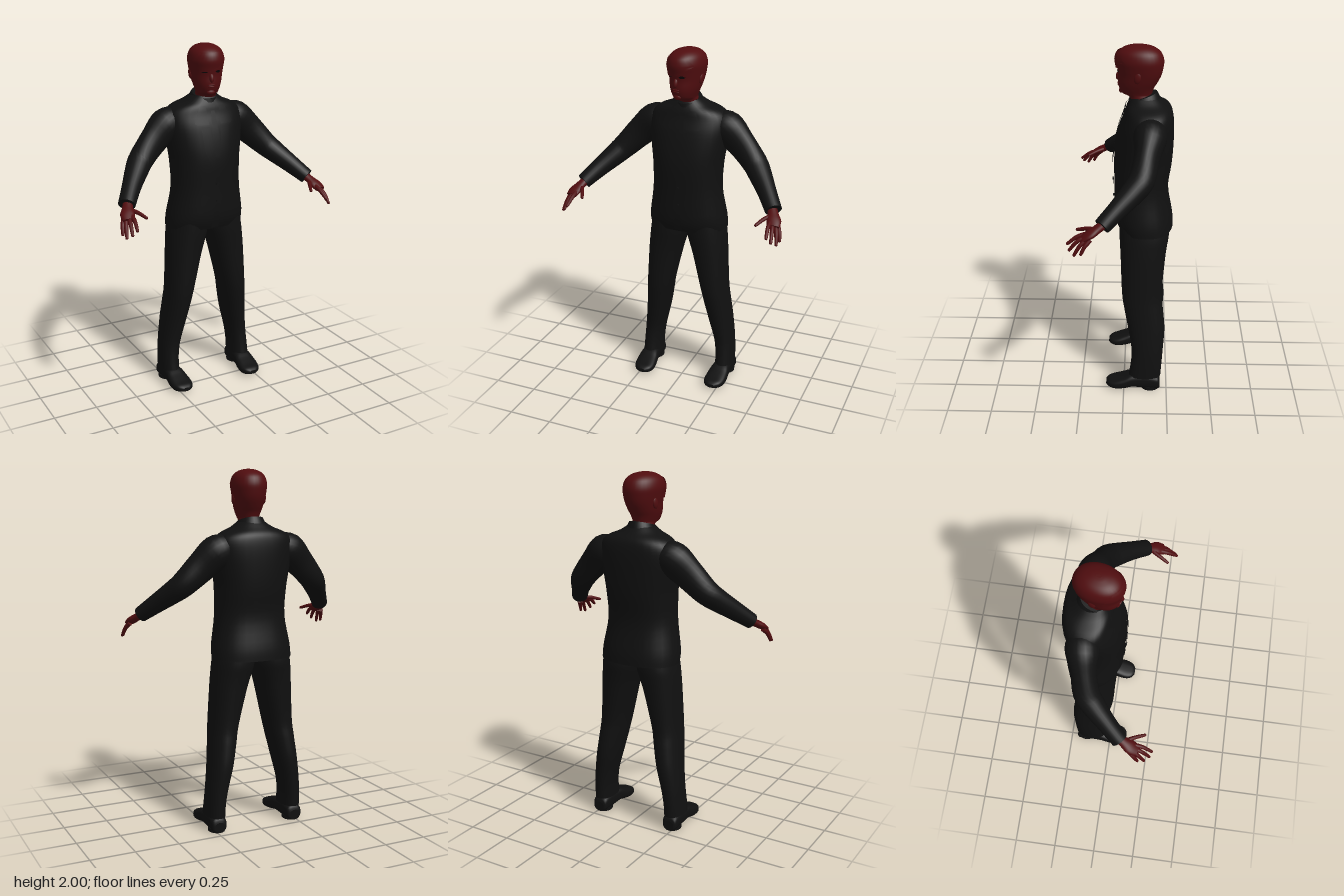
import * as THREE from 'three';

const mat = (name, color) => new THREE.MeshStandardMaterial({ name, color, side: THREE.DoubleSide });
const V = (x, y, z) => new THREE.Vector3(x, y, z);
const power = (a, p) => Math.sign(a) * Math.abs(a) ** p;

// Smoothly resample rows of numbers
function smooth(rows, steps = 4) {
  const out = [], at = i => rows[Math.min(Math.max(i, 0), rows.length - 1)];
  for (let i = 0; i < rows.length - 1; i++) for (let k = 0; k < steps; k++) {
    const t = k / steps;
    out.push(rows[i].map((b, j) => {
      const a = at(i - 1)[j], c = at(i + 1)[j], d = at(i + 2)[j];
      return b + 0.5 * t * (c - a + t * (2 * a - 5 * b + 4 * c - d + t * (3 * (b - c) + d - a)));
    }));
  }
  return [...out, rows.at(-1)];
}

// Skin closed super-ellipse rings { c, u, v }, with flat caps at both ends
function loft(rings, n = 2, seg = 32) {
  const pos = [], idx = [], last = rings.length - 1;
  const flip = V().crossVectors(rings[0].u, rings[0].v).dot(V().subVectors(rings[1].c, rings[0].c)) > 0;
  const tri = (a, b, c) => flip ? idx.push(a, c, b) : idx.push(a, b, c);
  const ring = r => {
    for (let j = 0; j < seg; j++) {
      const a = j / seg * Math.PI * 2;
      const p = r.c.clone().addScaledVector(r.u, power(Math.cos(a), 2 / n)).addScaledVector(r.v, power(Math.sin(a), 2 / n));
      pos.push(p.x, p.y, p.z);
    }
  };
  rings.forEach(ring);
  for (let i = 0; i < last; i++) for (let j = 0; j < seg; j++) {
    const a = i * seg + j, b = i * seg + (j + 1) % seg;
    tri(a, a + seg, b);
    tri(b, a + seg, b + seg);
  }
  for (const [r, top] of [[rings[0], false], [rings[last], true]]) {
    const base = pos.length / 3;
    ring(r);
    pos.push(r.c.x, r.c.y, r.c.z);
    for (let j = 0; j < seg; j++) {
      const a = base + j, b = base + (j + 1) % seg;
      top ? tri(a, base + seg, b) : tri(b, base + seg, a);
    }
  }
  const g = new THREE.BufferGeometry();
  g.setAttribute('position', new THREE.Float32BufferAttribute(pos, 3));
  g.setIndex(idx);
  g.computeVertexNormals();
  return g;
}

// Upright body: rows of [y, centre x, half width, front z, back z]
const upright = (rows, n, tilt = 0) => loft(smooth(rows).map(([y, x, w, f, b]) => ({
  c: V(x, y, (f + b) / 2), u: V(w, 0, 0), v: V(0, -tilt * (f - b) / 2, (f - b) / 2) })), n);

// Limb: rows of [x, y, z, half width, half thickness]
function limb(rows, s, seg = 24) {
  const p = smooth(rows);
  return loft(p.map((r, i) => {
    const a = p[Math.max(i - 1, 0)], b = p[Math.min(i + 1, p.length - 1)];
    const t = V(s * (b[0] - a[0]), b[1] - a[1], b[2] - a[2]).normalize();
    const u = V().crossVectors(t, V(0, 1, 0)).normalize(), v = V().crossVectors(t, u);
    return { c: V(s * r[0], r[1], r[2]), u: u.multiplyScalar(r[3]), v: v.multiplyScalar(r[4]) };
  }), 2, seg);
}

// Front depth of an upright body at (x, y)
function frontZ(rows, n, x, y) {
  const i = Math.min(Math.max(rows.findIndex(r => r[0] > y), 1), rows.length - 1);
  const a = rows[i - 1], b = rows[i], t = (y - a[0]) / (b[0] - a[0]);
  const [, , w, f, k] = a.map((q, j) => q + (b[j] - q) * t);
  return (f + k) / 2 + (f - k) / 2 * Math.max(0, 1 - Math.abs(x / w) ** n) ** (1 / n);
}

// Thin panel lying on a body's front: rows of [y, x from, x to], top down
function panel(body, n, rows, s = 1, lift = 0.006) {
  const down = [], K = 6, N = 10;
  rows.slice(0, -1).forEach((r, i) => {
    for (let k = 0; k < K; k++) down.push(r.map((q, j) => q + (rows[i + 1][j] - q) * k / K));
  });
  down.push(rows.at(-1));
  const g = new THREE.PlaneGeometry(1, 1, N, down.length - 1), p = g.attributes.position;
  down.forEach(([y, a, b], i) => {
    const lo = Math.min(s * a, s * b), hi = Math.max(s * a, s * b);
    for (let j = 0; j <= N; j++) {
      const x = lo + (hi - lo) * j / N;
      p.setXYZ(i * (N + 1) + j, x, y, frontZ(body, n, x, y) + lift);
    }
  });
  g.computeVertexNormals();
  return g;
}

export function createModel() {
  const suit = mat('black cloth', 0x101010), skin = mat('dark red skin', 0x500d0f), dark = mat('eye black', 0x0a0506);
  const model = new THREE.Group();
  const add = (name, g, m, parent = model) => {
    const mesh = new THREE.Mesh(g, m);
    mesh.name = name;
    parent.add(mesh);
    return mesh;
  };

  // Jacket
  const torso = [
    [0.97, 0, 0.228, 0.035, -0.272], [1.04, 0, 0.225, 0.056, -0.268], [1.2, 0, 0.2, 0.058, -0.242],
    [1.35, 0, 0.202, 0.06, -0.26], [1.45, 0, 0.215, 0.05, -0.267], [1.55, 0, 0.228, 0.028, -0.268],
    [1.62, 0, 0.222, 0.003, -0.262], [1.66, 0, 0.185, -0.008, -0.248], [1.69, 0, 0.115, -0.02, -0.215],
    [1.72, 0, 0.07, -0.035, -0.18]];
  const body = smooth(torso);
  add('jacket', upright(torso, 2.3), suit);
  add('collar', upright([[1.66, 0, 0.1, -0.005, -0.2], [1.7, 0, 0.082, -0.015, -0.185], [1.725, 0, 0.07, -0.02, -0.172]], 2, 0.3), suit);
  add('tie', panel(body, 2.3, [[1.67, -0.02, 0.02], [1.64, -0.012, 0.012], [1.4, -0.028, 0.028], [1.3, -0.004, 0.004]]), suit);
  add('jacketOverlap', panel(body, 2.3, [[1.3, -0.004, 0.008], [0.98, -0.03, 0.015]], 1, 0.004), suit);
  for (const y of [1.24, 1.14]) {
    const button = add('button', new THREE.CylinderGeometry(0.008, 0.008, 0.008, 12), suit);
    button.rotation.x = Math.PI / 2;
    button.position.set(0, y, frontZ(body, 2.3, 0, y) + 0.006);
  }

  for (const s of [1, -1]) {
    const side = new THREE.Group();
    side.name = s > 0 ? 'leftSide' : 'rightSide';
    model.add(side);
    const part = (name, g, m) => add(name, g, m, side);

    part('lapel', panel(body, 2.3, [[1.67, 0.04, 0.075], [1.58, 0.035, 0.115], [1.56, 0.033, 0.085], [1.42, 0.018, 0.07], [1.28, 0, 0.006]], s, 0.009), suit);
    part('pocketFlap', panel(body, 2.3, [[1.11, 0.085, 0.17], [1.07, 0.085, 0.17]], s), suit);

    // Sleeve
    part('sleeve', limb([
      [0.15, 1.585, -0.137, 0.075, 0.07], [0.215, 1.56, -0.137, 0.09, 0.095], [0.3, 1.485, -0.122, 0.068, 0.084],
      [0.39, 1.395, -0.095, 0.07, 0.07], [0.44, 1.345, -0.05, 0.064, 0.062], [0.505, 1.28, 0.025, 0.052, 0.052],
      [0.567, 1.215, 0.103, 0.047, 0.043]], s), suit);

    // Hand with spread fingers
    part('palm', limb([
      [0.555, 1.225, 0.09, 0.026, 0.022], [0.575, 1.2, 0.13, 0.03, 0.021],
      [0.59, 1.18, 0.165, 0.039, 0.02], [0.598, 1.16, 0.2, 0.032, 0.015]], s), skin);
    const fingers = {
      thumb: [[0.565, 1.195, 0.135], [0.538, 1.188, 0.18], [0.512, 1.17, 0.232]],
      indexFinger: [[0.575, 1.175, 0.185], [0.577, 1.16, 0.23], [0.585, 1.125, 0.278]],
      middleFinger: [[0.59, 1.168, 0.185], [0.6, 1.145, 0.228], [0.608, 1.1, 0.268]],
      ringFinger: [[0.605, 1.16, 0.178], [0.62, 1.13, 0.213], [0.63, 1.082, 0.243]],
      littleFinger: [[0.612, 1.16, 0.16], [0.629, 1.13, 0.188], [0.638, 1.09, 0.208]] };
    for (const [name, [a, b, c]] of Object.entries(fingers)) {
      const tip = c.map((q, i) => q + (c[i] - b[i]) * 0.07);
      part(name, limb([[...a, 0.013, 0.013], [...b, 0.011, 0.011], [...c, 0.008, 0.008], [...tip, 0.003, 0.003]], s, 10), skin);
    }

    // Trouser leg, rows of [y, inner x, outer x, front z, back z]
    const leg = [
      [1.04, 0, 0.205, 0.03, -0.245], [0.95, 0, 0.222, 0.028, -0.25], [0.88, 0.018, 0.23, 0.024, -0.24],
      [0.8, 0.042, 0.236, 0.02, -0.23], [0.6, 0.09, 0.247, 0.012, -0.215], [0.5, 0.11, 0.255, -0.002, -0.224],
      [0.38, 0.135, 0.267, -0.025, -0.234], [0.25, 0.166, 0.281, -0.045, -0.226], [0.16, 0.18, 0.287, -0.04, -0.22],
      [0.085, 0.182, 0.29, -0.028, -0.215]];
    part('trouserLeg', upright(leg.map(([y, a, b, f, k]) => [y, s * (a + b) / 2, (b - a) / 2, f, k]), 2.2), suit);

    // Shoe, rows of [z, centre x, half width, bottom y, top y]
    const shoe = [
      [-0.21, 0.238, 0.03, 0.004, 0.06], [-0.195, 0.237, 0.045, 0.002, 0.085], [-0.12, 0.235, 0.047, 0.004, 0.1],
      [-0.05, 0.233, 0.054, 0.012, 0.098], [0, 0.231, 0.061, 0.004, 0.078], [0.05, 0.228, 0.061, 0.002, 0.06],
      [0.085, 0.226, 0.047, 0.008, 0.05], [0.104, 0.225, 0.022, 0.016, 0.038]];
    part('shoe', loft(smooth(shoe).map(([z, x, w, lo, hi]) => ({
      c: V(s * x, (lo + hi) / 2, z), u: V(w, 0, 0), v: V(0, (hi - lo) / 2, 0) })), 2.8), suit);
    const heel = part('shoeHeel', new THREE.CylinderGeometry(0.046, 0.046, 0.02, 24), suit);
    heel.scale.z = 1.15;
    heel.position.set(s * 0.236, 0.01, -0.155);
  }

  // Head, turned slightly to its right
  const head = new THREE.Group();
  head.name = 'head';
  head.position.z = -0.08;
  head.rotation.y = -0.2;
  model.add(head);
  const inner = new THREE.Group();
  inner.name = 'headParts';
  inner.position.z = 0.08;
  head.add(inner);
  const skull = [
    [1.64, 0, 0.064, -0.04, -0.16], [1.7, 0, 0.062, -0.035, -0.145], [1.727, 0, 0.058, -0.015, -0.145],
    [1.74, 0, 0.059, 0.02, -0.147], [1.77, 0, 0.07, 0.034, -0.157], [1.8, 0, 0.079, 0.038, -0.175],
    [1.84, 0, 0.087, 0.037, -0.195], [1.88, 0, 0.094, 0.043, -0.205], [1.92, 0, 0.098, 0.05, -0.208],
    [1.96, 0, 0.087, 0.038, -0.193], [1.985, 0, 0.062, 0.005, -0.16], [1.997, 0, 0.03, -0.035, -0.12],
    [2, 0, 0.008, -0.06, -0.09]];
  const face = smooth(skull);
  add('skull', upright(skull, 2.1), skin, inner);
  add('fringe', panel(face, 2.1, [[1.965, -0.06, 0.06], [1.92, -0.09, 0.09], [1.885, -0.09, 0.045], [1.862, -0.085, -0.01]], 1, 0.008), skin, inner);
  const blob = (name, x, y, z, w, h, d, m = skin) => {
    const b = add(name, new THREE.SphereGeometry(1, 16, 12), m, inner);
    b.position.set(x, y, z);
    b.scale.set(w, h, d);
    return b;
  };
  blob('nose', 0, 1.828, 0.037, 0.013, 0.026, 0.014).rotation.x = -0.3;
  blob('upperLip', 0, 1.789, 0.035, 0.022, 0.005, 0.008);
  blob('lowerLip', 0, 1.779, 0.033, 0.019, 0.005, 0.008);
  blob('chin', 0, 1.748, 0.02, 0.024, 0.016, 0.014);
  for (const s of [1, -1]) {
    blob('ear', s * 0.086, 1.842, -0.085, 0.01, 0.032, 0.019).rotation.x = -0.2;
    add('eye', panel(face, 2.1, [[1.868, 0.03, 0.044], [1.861, 0.02, 0.054], [1.855, 0.03, 0.046]], s, 0.003), dark, inner);
    add('eyebrow', panel(face, 2.1, [[1.885, 0.018, 0.058], [1.878, 0.016, 0.062]], s, 0.005), skin, inner);
  }
  return model;
}
